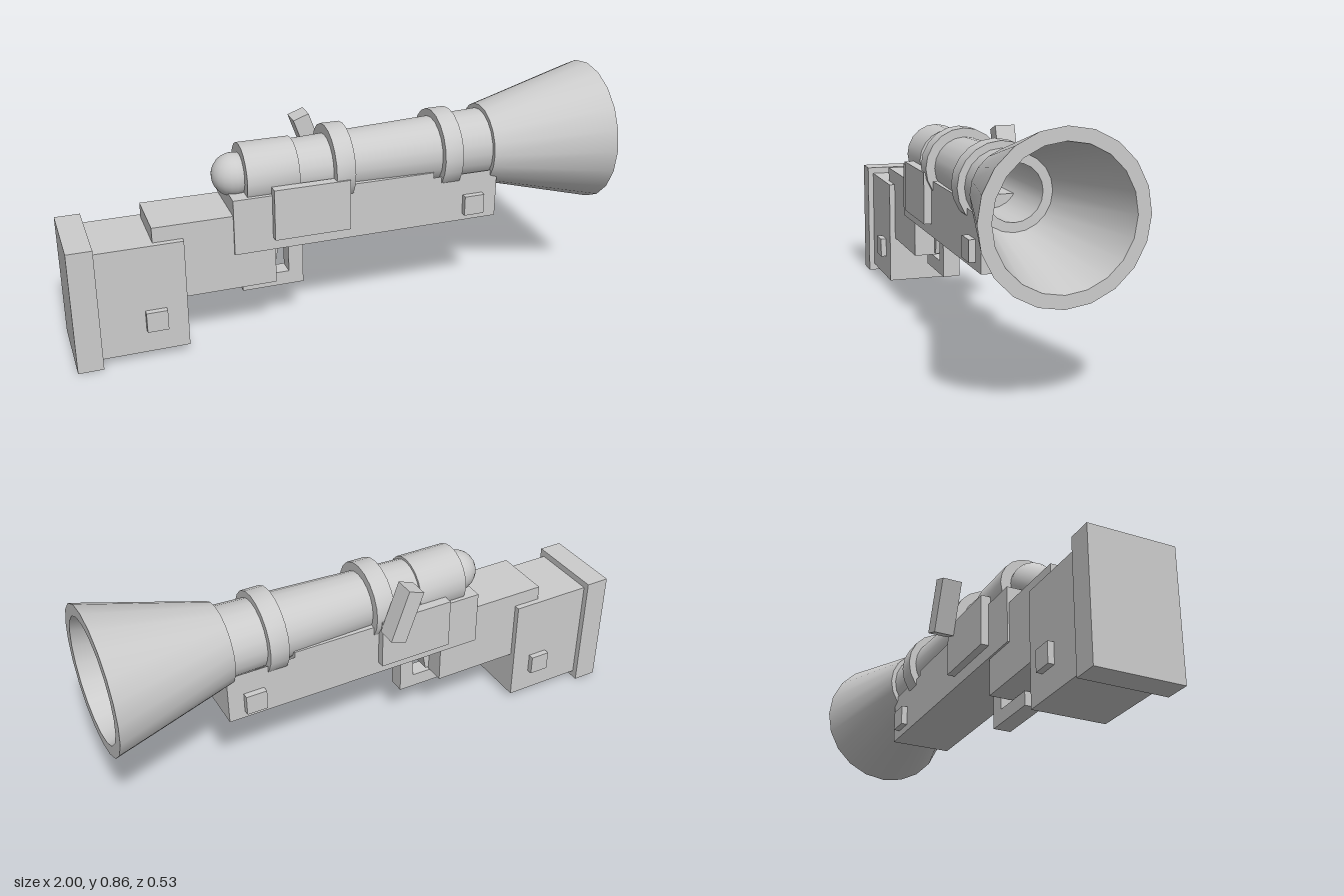
import * as THREE from 'three';
import { toCreasedNormals } from 'three/addons/utils/BufferGeometryUtils.js';

const AXIS_Y = 0.597; // height of the barrel axis
const grey = new THREE.MeshStandardMaterial({ color: 0xcccccc });

export function createModel() {
  const model = new THREE.Group();

  const add = (name, geometry) => {
    const mesh = new THREE.Mesh(geometry, grey);
    mesh.name = name;
    model.add(mesh);
    return mesh;
  };

  // Box given by its limits on each axis
  const box = (name, x0, x1, y0, y1, z0, z1) => {
    const mesh = add(name, new THREE.BoxGeometry(x1 - x0, y1 - y0, z1 - z0));
    mesh.position.set((x0 + x1) / 2, (y0 + y1) / 2, (z0 + z1) / 2);
    return mesh;
  };

  // Turned part around the barrel axis; profile is [x, radius] pairs
  const turned = (name, profile, sides = 20) => {
    const points = profile.map(([x, r]) => new THREE.Vector2(r, x));
    const geometry = toCreasedNormals(new THREE.LatheGeometry(points, sides), 0.6);
    const mesh = add(name, geometry);
    mesh.rotation.z = -Math.PI / 2;
    mesh.position.y = AXIS_Y;
    return mesh;
  };

  // Hollow ring or tube that may taper from one end to the other
  const tube = (name, x0, x1, outer0, outer1, inner0, inner1) =>
    turned(name, [[x0, inner0], [x0, outer0], [x1, outer1], [x1, inner1], [x0, inner0]]);

  // Stock
  box('buttPlate', -1, -0.91, 0, 0.46, -0.154, 0.154);
  box('stock', -0.91, -0.6, 0.027, 0.435, -0.132, 0.132);
  box('grip', -0.705, -0.27, 0.208, 0.49, -0.11, 0.11);

  // Body, with a rounded cradle under the front of the barrel
  box('body', -0.42, 0.33, 0.343, 0.55, -0.117, 0.117);
  const cradle = new THREE.Shape();
  const a = Math.acos(0.117 / 0.135);
  cradle.moveTo(-0.117, 0.343);
  cradle.lineTo(0.117, 0.343);
  cradle.absarc(0, AXIS_Y, 0.135, -a, a - Math.PI, true);
  cradle.closePath();
  const cradleMesh = add('cradle', new THREE.ExtrudeGeometry(cradle, {
    depth: 0.255, bevelEnabled: false, curveSegments: 10,
  }));
  cradleMesh.rotation.y = Math.PI / 2;
  cradleMesh.position.x = 0.33;

  // Side plates and square studs on both sides
  for (const [side, s] of [['left', 1], ['right', -1]]) {
    const sideBox = (name, x0, x1, y0, y1, zIn, zOut) =>
      box(side + name, x0, x1, y0, y1, Math.min(s * zIn, s * zOut), Math.max(s * zIn, s * zOut));
    sideBox('SidePlate', -0.28, 0, 0.39, 0.58, 0.11, 0.146);
    sideBox('StockStud', -0.75, -0.675, 0.115, 0.19, 0.12, 0.154);
    sideBox('BodyStud', 0.45, 0.527, 0.37, 0.445, 0.1, 0.14);
  }

  // Trigger and its guard
  const trigger = new THREE.Shape([
    [-0.28, 0.215], [-0.255, 0.215], [-0.23, 0.35], [-0.28, 0.35],
  ].map(([x, y]) => new THREE.Vector2(x, y)));
  add('trigger', new THREE.ExtrudeGeometry(trigger, { depth: 0.064, bevelEnabled: false }))
    .position.z = -0.032;
  box('guardBar', -0.375, -0.145, 0.148, 0.2, -0.032, 0.032);
  box('guardPost', -0.2, -0.145, 0.2, 0.345, -0.032, 0.032);

  // Barrel, flared muzzle and bands
  tube('barrel', -0.18, 0.565, 0.103, 0.13, 0.09, 0.097);
  tube('muzzle', 0.558, 1, 0.147, 0.264, 0.128, 0.221);
  tube('rearBand', -0.05, 0.02, 0.143, 0.143, 0.1, 0.1);
  tube('frontBand', 0.362, 0.432, 0.15, 0.15, 0.11, 0.11);

  // Breech with its rounded end
  turned('breech', [[-0.365, 0], [-0.365, 0.113], [-0.175, 0.113], [-0.175, 0]]);
  const knob = add('breechKnob', new THREE.SphereGeometry(0.078, 20, 14));
  knob.position.set(-0.388, AXIS_Y + 0.003, 0);

  // Tilted lever on the right side
  const lever = add('lever', new THREE.BoxGeometry(0.062, 0.2, 0.075));
  lever.position.set(-0.055, 0.63, -0.183);
  lever.rotation.z = THREE.MathUtils.degToRad(20);

  return model;
}
